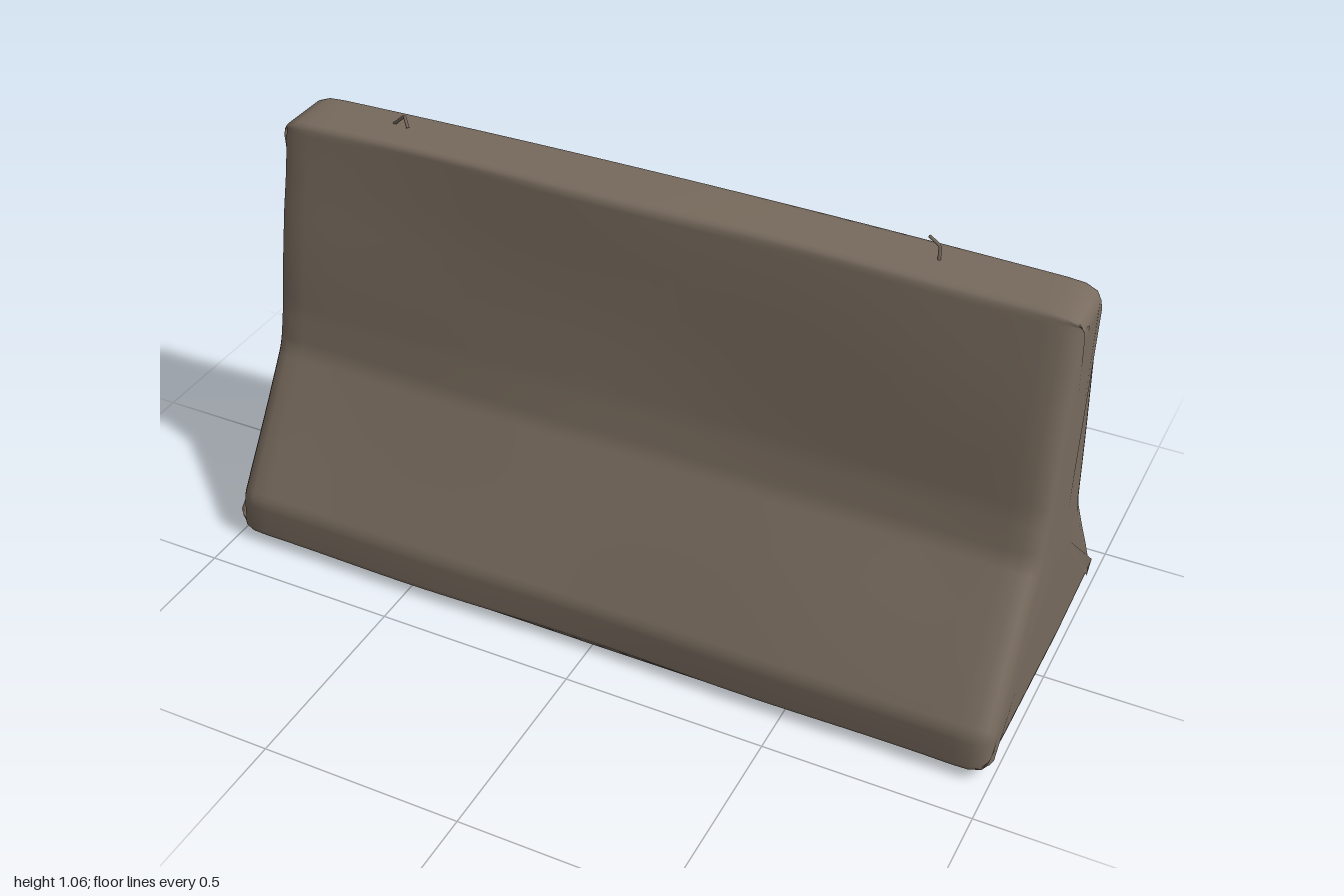
import * as THREE from 'three';

const concrete = new THREE.MeshStandardMaterial({ color: 0x776a5d });
concrete.name = 'weathered concrete';

// Barrier outline as [z, y]: up the front, over the top, down the back
const outline = [
  [0.404, 0.022], [0.395, 0.13], [0.176, 0.46], [0.148, 0.56], [0.052, 1.037],
  [-0.12, 1.037], [-0.13, 0.97], [-0.183, 0.435], [-0.33, 0.21], [-0.402, 0.085],
  [-0.402, 0.022], [-0.12, 0.004], [0.27, 0.012],
];

// Round each corner and add points along the straight runs
function roundedOutline(points, radius) {
  const result = [];
  const v = points.map(([z, y]) => new THREE.Vector2(z, y));
  v.forEach((p, i) => {
    const prev = v[(i + v.length - 1) % v.length], next = v[(i + 1) % v.length];
    const toward = (q) => p.clone().lerp(q, Math.min(0.4, radius / p.distanceTo(q)));
    const a = toward(prev), b = toward(next);
    result.push(...new THREE.QuadraticBezierCurve(a, p, b).getPoints(3));
    const end = next.clone().lerp(p, Math.min(0.4, radius / p.distanceTo(next)));
    const steps = Math.floor(b.distanceTo(end) / 0.09);
    for (let k = 1; k < steps; k++) result.push(b.clone().lerp(end, k / steps));
  });
  return result;
}

// Shallow worn hollows, always pushed inward
function dent(x, y, side) {
  const a = Math.sin(x * 5.1 + y * 3.7 + side * 1.3), b = Math.sin(x * 2.3 - y * 6.1 + side * 2.1);
  return 0.006 * (1 + a * b);
}

function barrierGeometry() {
  const ring = roundedOutline(outline, 0.022);
  const n = ring.length;
  const normals = ring.map((p, j) => {
    const t = ring[(j + 1) % n].clone().sub(ring[(j + n - 1) % n]).normalize();
    return new THREE.Vector2(t.y, -t.x);
  });
  // Stations as [x, inset]; the last few round off each end
  const stations = [[-0.994, 0.05], [-0.99, 0.03], [-0.978, 0.012], [-0.95, 0.002]];
  for (let k = -14; k <= 14; k++) stations.push([k * 0.065, 0]);
  stations.push([0.95, 0.002], [0.978, 0.012], [0.99, 0.03], [0.994, 0.05]);

  const pos = [], index = [];
  for (const [x, inset] of stations) {
    ring.forEach((p, j) => {
      const nrm = normals[j];
      const d = inset + (Math.abs(nrm.x) > 0.5 ? dent(x, p.y, Math.sign(nrm.x)) : 0);
      const crown = p.y > 0.9 ? -0.014 * x * x : p.y < 0.03 ? 0.008 * x * x : 0;
      pos.push(x, p.y - nrm.y * d + crown, p.x - nrm.x * d);
    });
  }
  for (let i = 0; i < stations.length - 1; i++) {
    for (let j = 0; j < n; j++) {
      const a = i * n + j, b = i * n + (j + 1) % n;
      index.push(a, a + n, b, b, a + n, b + n);
    }
  }
  // Flat end faces
  const last = (stations.length - 1) * n, centre = pos.length / 3;
  pos.push(-1, 0.42, -0.01, 1, 0.42, -0.01);
  for (let j = 0; j < n; j++) {
    const k = (j + 1) % n;
    index.push(centre, j, k, centre + 1, last + k, last + j);
  }
  const g = new THREE.BufferGeometry();
  g.setAttribute('position', new THREE.Float32BufferAttribute(pos, 3));
  g.setIndex(index);
  g.computeVertexNormals();
  return g;
}

// Bent wire stub standing on the top face
function wireHook(points) {
  const path = new THREE.CurvePath();
  const v = points.map((p) => new THREE.Vector3(...p));
  for (let i = 0; i < v.length - 1; i++) path.add(new THREE.LineCurve3(v[i], v[i + 1]));
  return new THREE.TubeGeometry(path, 12, 0.004, 5);
}

export function createModel() {
  const group = new THREE.Group();
  group.name = 'concreteBarrier';
  const add = (name, geometry) => {
    const mesh = new THREE.Mesh(geometry, concrete);
    mesh.name = name;
    group.add(mesh);
  };
  add('barrierBody', barrierGeometry());
  add('rightLiftingWire', wireHook([[-0.735, 1.025, -0.055], [-0.695, 1.062, -0.045], [-0.685, 1.035, -0.04]]));
  add('leftLiftingWire', wireHook([[0.645, 1.02, -0.04], [0.642, 1.06, -0.05], [0.61, 1.066, -0.07]]));
  return group;
}
